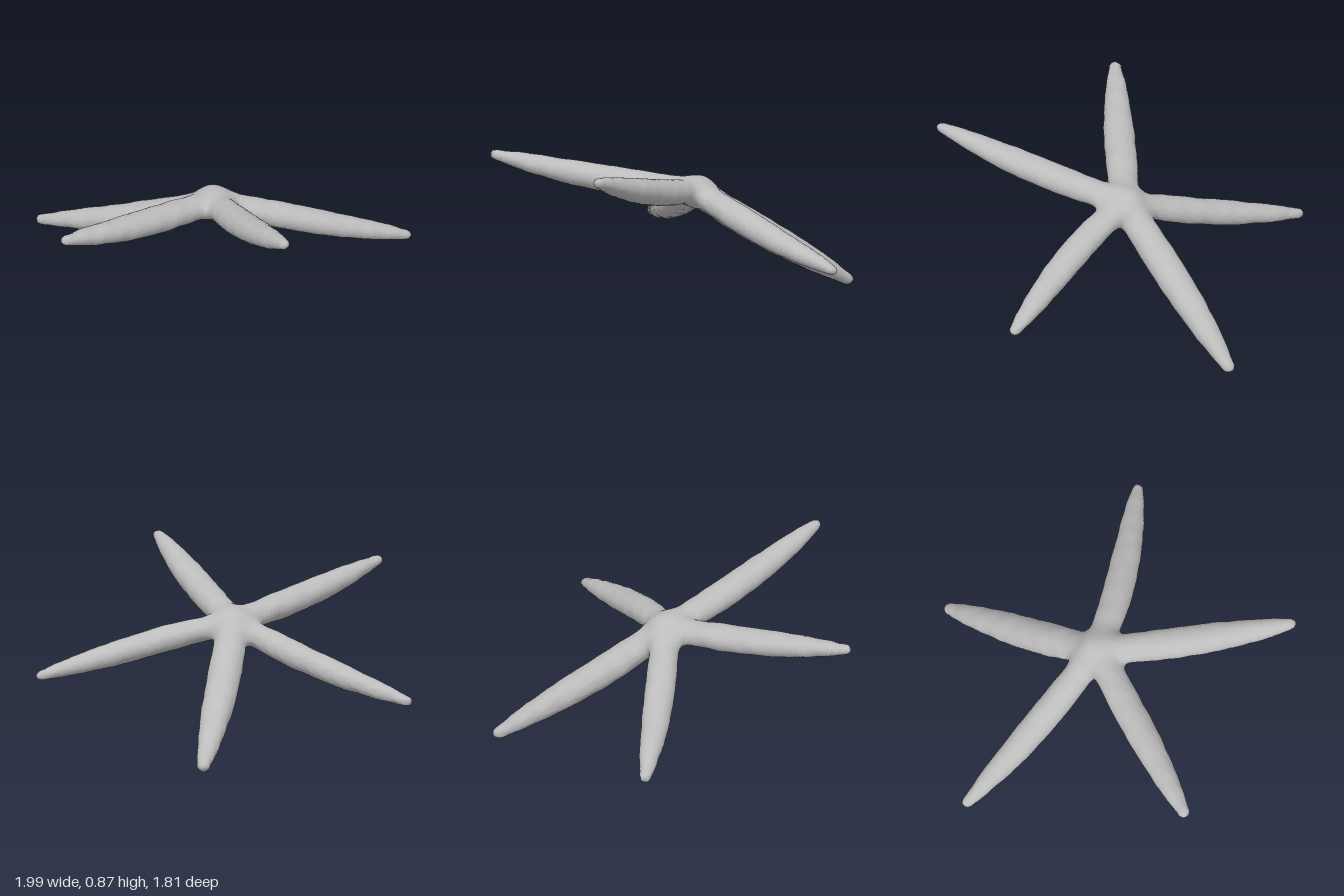
import * as THREE from 'three';

const FLATTEN = 0.82; // arms are a little flatter than they are wide
const STEP = 0.0165;
const CENTRE = [0, 0.612, 0.01];

// Each arm: two points along it, its tip, and its plumpness
const ARMS = [
  { path: [[-0.01, 0.4, -0.3], [-0.008, 0.225, -0.58], [0, 0.042, -0.875]], fat: 1.06 }, // back
  { path: [[0.3, 0.54, -0.055], [0.6, 0.455, -0.15], [0.965, 0.357, -0.295]], fat: 0.96 }, // left
  { path: [[-0.3, 0.485, -0.055], [-0.6, 0.38, -0.125], [-0.965, 0.28, -0.222]], fat: 0.96 }, // right
  { path: [[0.165, 0.665, 0.28], [0.34, 0.745, 0.55], [0.545, 0.862, 0.862]], fat: 1 }, // front left
  { path: [[-0.19, 0.645, 0.28], [-0.39, 0.695, 0.57], [-0.61, 0.77, 0.875]], fat: 1 }, // front right
];
// Radius from the centre to the tip
const RADII = [[0, 0.056], [0.15, 0.078], [0.33, 0.086], [0.6, 0.08], [0.85, 0.059], [1, 0.033]];

function radiusAt(t) {
  const i = Math.max(1, RADII.findIndex((r) => r[0] >= t));
  const [a, b] = [RADII[i - 1], RADII[i]];
  return THREE.MathUtils.mapLinear(t, a[0], b[0], a[1], b[1]);
}

// Sample an arm's centre line as tapered segments
function armSegments({ path, fat }) {
  const curve = new THREE.CatmullRomCurve3([CENTRE, ...path].map(([x, y, z]) => new THREE.Vector3(x, y / FLATTEN, z)));
  const n = 10;
  const segments = [];
  for (let i = 0; i < n; i++) {
    const a = curve.getPointAt(i / n);
    const d = curve.getPointAt((i + 1) / n).sub(a);
    const r = radiusAt(i / n) * fat;
    segments.push({ a, d, len2: d.lengthSq(), r, dr: radiusAt(Math.min(1, (i + 1) / n)) * fat - r });
  }
  return segments;
}

// Distance to the five arms, blended softly where they meet
function makeField() {
  const arms = ARMS.map(armSegments);
  const k = 36;
  return (x, yWorld, z) => {
    const y = yWorld / FLATTEN;
    let sum = 0;
    for (const arm of arms) {
      let best = Infinity;
      for (const { a, d, len2, r, dr } of arm) {
        const px = x - a.x, py = y - a.y, pz = z - a.z;
        const t = Math.min(1, Math.max(0, (px * d.x + py * d.y + pz * d.z) / len2));
        const qx = px - t * d.x, qy = py - t * d.y, qz = pz - t * d.z;
        best = Math.min(best, Math.sqrt(qx * qx + qy * qy + qz * qz) - r - t * dr);
      }
      sum += Math.exp(-k * best);
    }
    // Faint ripples in the skin
    const ripple = Math.sin(31 * x + 9 * z) * Math.sin(35 * z - 7 * x) * Math.sin(27 * y + 1);
    return -Math.log(sum + 1e-30) / k + 0.003 * ripple;
  };
}

// Skin the field with one vertex per surface cell and one quad per crossed grid edge
function skin(field, min, max) {
  const size = min.map((m, i) => Math.ceil((max[i] - m) / STEP) + 1);
  const stride = [1, size[0], size[0] * size[1]];
  const values = new Float32Array(size[0] * size[1] * size[2]);
  const forEachCell = (from, visit) => {
    for (let z = from; z < size[2] - 1; z++)
      for (let y = from; y < size[1] - 1; y++)
        for (let x = from; x < size[0] - 1; x++) visit([x, y, z], x + y * stride[1] + z * stride[2]);
  };
  for (let z = 0, i = 0; z < size[2]; z++)
    for (let y = 0; y < size[1]; y++)
      for (let x = 0; x < size[0]; x++) values[i++] = field(min[0] + x * STEP, min[1] + y * STEP, min[2] + z * STEP);

  const positions = [];
  const index = [];
  const vertexOf = new Int32Array(values.length).fill(-1);
  forEachCell(0, (cell, at) => {
    const sum = [0, 0, 0];
    let count = 0;
    for (let corner = 0; corner < 8; corner++) {
      const bits = [corner & 1, (corner >> 1) & 1, corner >> 2];
      const v0 = values[at + bits[0] + bits[1] * stride[1] + bits[2] * stride[2]];
      for (let axis = 0; axis < 3; axis++) {
        if (bits[axis]) continue;
        const v1 = values[at + bits[0] + bits[1] * stride[1] + bits[2] * stride[2] + stride[axis]];
        if (v0 < 0 === v1 < 0) continue;
        for (let i = 0; i < 3; i++) sum[i] += bits[i] + (i === axis ? v0 / (v0 - v1) : 0);
        count++;
      }
    }
    if (!count) return;
    vertexOf[at] = positions.length / 3;
    for (let i = 0; i < 3; i++) positions.push(min[i] + (cell[i] + sum[i] / count) * STEP);
  });
  forEachCell(1, (cell, at) => {
    for (let axis = 0; axis < 3; axis++) {
      const inside = values[at] < 0;
      if (inside === values[at + stride[axis]] < 0) continue;
      const b = stride[(axis + 1) % 3], c = stride[(axis + 2) % 3];
      const q = [at - b - c, at - c, at, at - b].map((j) => vertexOf[j]);
      if (!inside) q.reverse();
      index.push(q[0], q[1], q[2], q[0], q[2], q[3]);
    }
  });

  const geometry = new THREE.BufferGeometry();
  geometry.setAttribute('position', new THREE.Float32BufferAttribute(positions, 3));
  geometry.setIndex(index);
  geometry.computeVertexNormals();
  return geometry;
}

export function createModel() {
  const group = new THREE.Group();
  group.name = 'starfish';
  const paleGrey = new THREE.MeshStandardMaterial({ color: 0xbcbcbc });
  paleGrey.name = 'pale grey';

  // Five arms and the central disc in one smooth skin
  const body = new THREE.Mesh(skin(makeField(), [-1.05, -0.05, -0.97], [1.05, 0.97, 0.97]), paleGrey);
  body.name = 'fiveArmedBody';
  group.add(body);

  // Stand it on the ground, centred
  const box = new THREE.Box3().setFromObject(group);
  const mid = box.getCenter(new THREE.Vector3());
  body.position.set(-mid.x, -box.min.y, -mid.z);
  return group;
}
